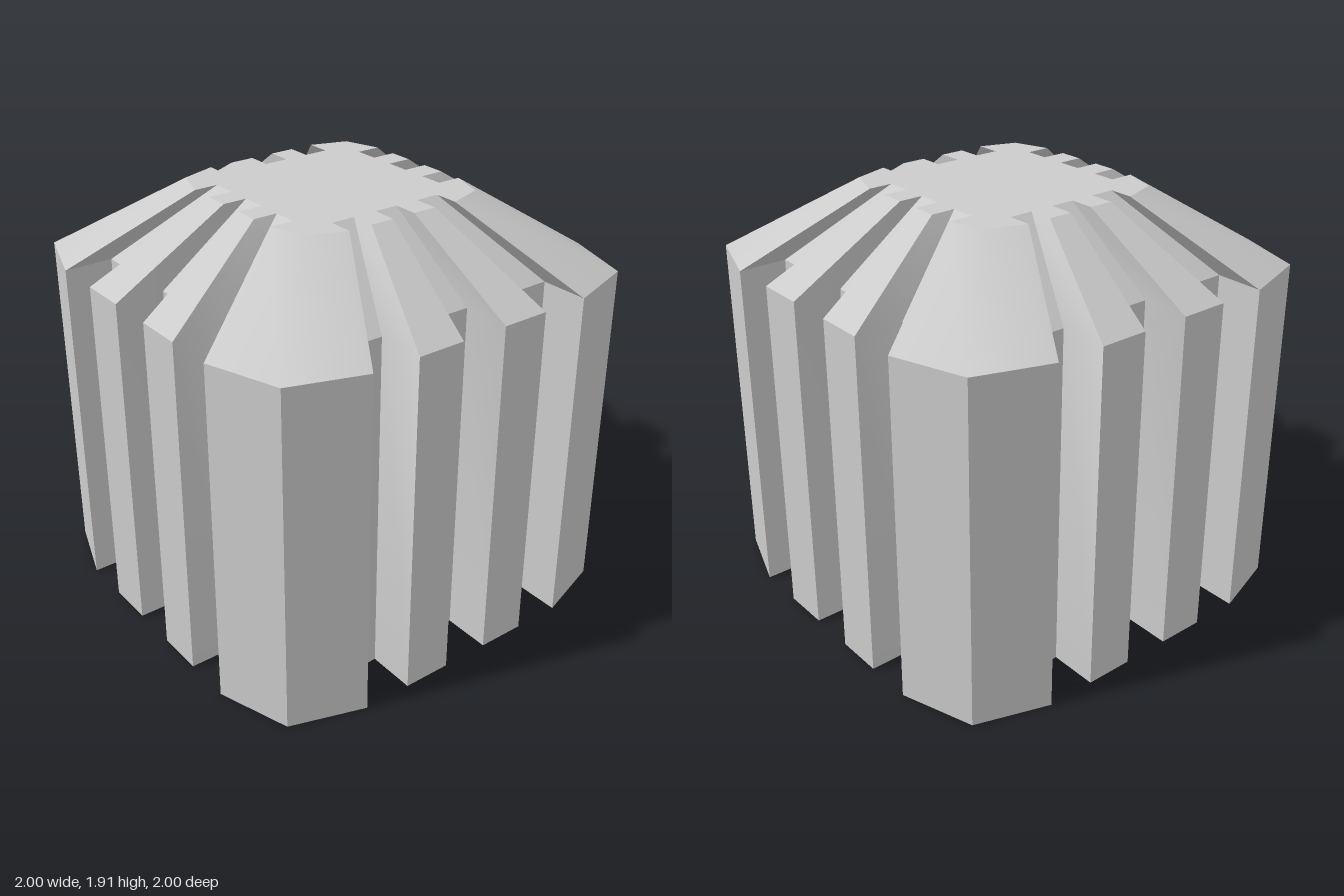
import * as THREE from 'three';
import { toCreasedNormals } from 'three/addons/utils/BufferGeometryUtils.js';

const RINGS = [ // height and scale of the outline at each level
  { y: 0, scale: 1 },
  { y: 1.58, scale: 1 },
  { y: 1.915, scale: 0.5 },
];

// Square outline with bevelled corners and three grooves per side (in ninths of a unit)
function groovedOutline() {
  const side = [[-8, -8], [-5, -9]];
  for (const x of [-4, 0, 4]) { // groove centres
    side.push([x - 1, -9], [x - 1, -7], [x + 1, -7], [x + 1, -9]);
  }
  side.splice(1, 1); // the first groove already starts at the corner's end
  const points = [];
  for (let k = 0; k < 4; k++) {
    for (const p of side) {
      let [x, y] = p;
      for (let i = 0; i < k; i++) [x, y] = [-y, x];
      points.push(new THREE.Vector2(x / 9, y / 9));
    }
  }
  return new THREE.Shape(points);
}

export function createModel() {
  const group = new THREE.Group();
  group.name = 'groovedBlock';

  // Straight grooved body, then a roof tapering to half size, as one closed solid
  const geometry = new THREE.ExtrudeGeometry(groovedOutline(), {
    depth: 2, steps: 2, bevelEnabled: false,
  });
  geometry.rotateX(-Math.PI / 2);
  const pos = geometry.attributes.position;
  for (let i = 0; i < pos.count; i++) {
    const { y, scale } = RINGS[Math.round(pos.getY(i))];
    pos.setXYZ(i, pos.getX(i) * scale, y, pos.getZ(i) * scale);
  }

  // Corner lobes of the roof are softly shaded, all other edges stay sharp
  const body = new THREE.Mesh(
    toCreasedNormals(geometry, THREE.MathUtils.degToRad(30)),
    new THREE.MeshStandardMaterial({ color: 0xcccccc }),
  );
  body.name = 'ribbedBodyWithTaperedTop';
  group.add(body);
  return group;
}
